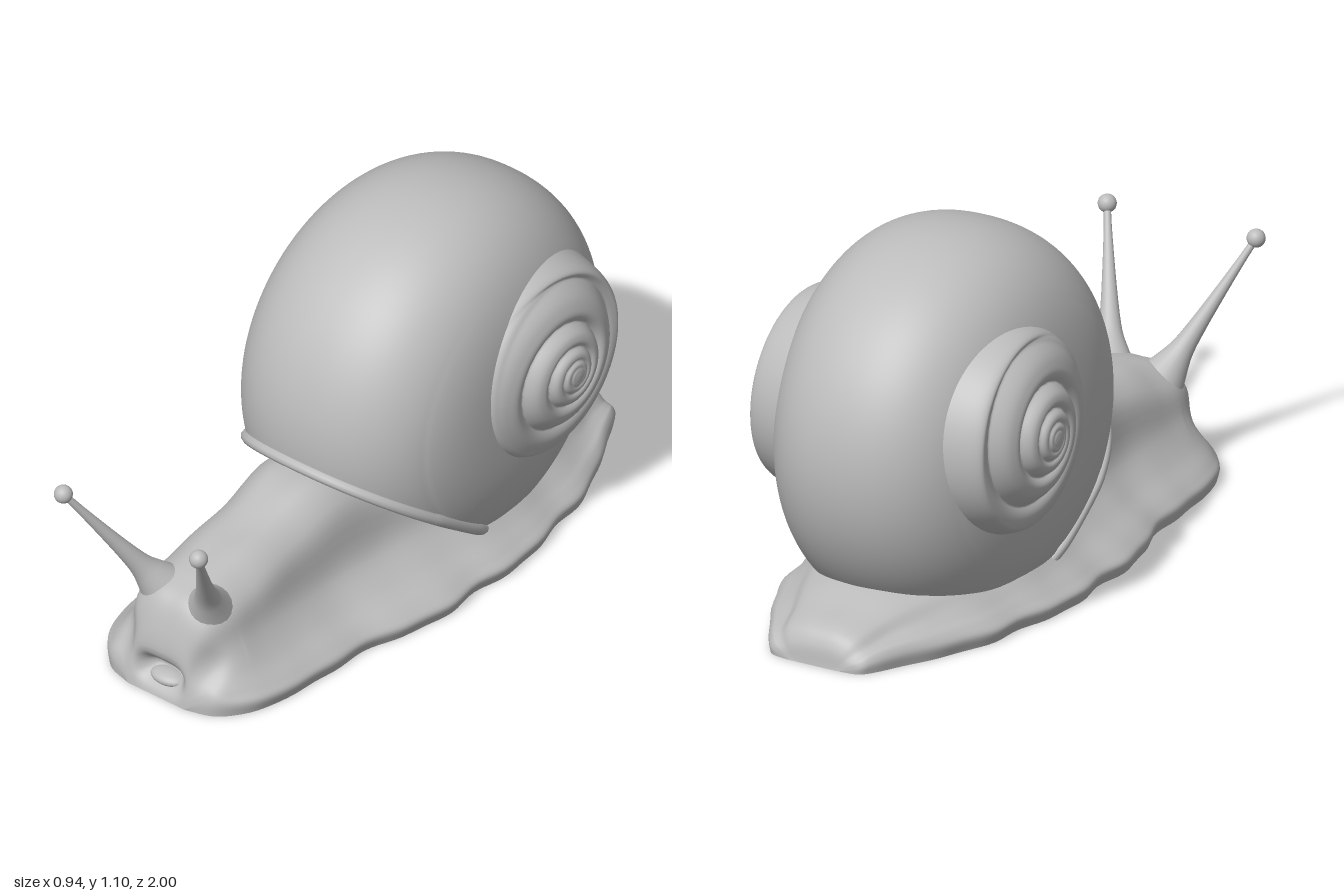
import * as THREE from 'three';

const V = (x, y, z) => new THREE.Vector3(x, y, z);
const clay = new THREE.MeshStandardMaterial({ color: 0xbcbcbc, side: THREE.DoubleSide });
clay.name = 'clay grey';

// Smooth surface through equally long rows of points
function surface(rows) {
  const n = rows[0].length, pos = [], index = [];
  rows.forEach(row => row.forEach(p => pos.push(p.x, p.y, p.z)));
  for (let i = 0; i < rows.length - 1; i++) {
    for (let j = 0; j < n - 1; j++) {
      const a = i * n + j, b = a + n;
      index.push(a, b, a + 1, b, b + 1, a + 1);
    }
  }
  const g = new THREE.BufferGeometry();
  g.setAttribute('position', new THREE.Float32BufferAttribute(pos, 3));
  g.setIndex(index);
  g.computeVertexNormals();
  return g;
}

function add(parent, name, geometry) {
  const mesh = new THREE.Mesh(geometry, clay);
  mesh.name = name;
  parent.add(mesh);
  return mesh;
}

// Body: [z, foot half width, back half width, height]
const STATIONS = [
  [-1, .08, .06, 0], [-.99, .14, .10, .06], [-.96, .17, .13, .10], [-.85, .24, .17, .135],
  [-.72, .30, .22, .17], [-.5, .37, .28, .20], [-.25, .40, .28, .26], [0, .395, .22, .38],
  [.2, .365, .19, .44], [.4, .315, .175, .40], [.6, .305, .18, .355], [.72, .28, .175, .335],
  [.79, .23, .15, .30], [.835, .18, .115, .20], [.855, .12, .10, .06], [.86, .10, .08, 0],
];

function buildBody(group) {
  const sections = STATIONS.map(([z, w, b, h]) => {
    const e = Math.min(.065, h * .5), side = Math.min(.19, h * .6);
    const half = [[w * .97, 0], [w, e * .6], [w * .93, e], [w + (b - w) * .6, e + (side - e) * .4],
      [b, side], [b * .82, h * .82], [b * .42, h * .98]];
    const ring = half.map(([x, y]) => V(x, y, z));
    ring.push(V(0, h, z), ...half.reverse().map(([x, y]) => V(-x, y, z)));
    return new THREE.CatmullRomCurve3(ring, false, 'centripetal').getPoints(70);
  });
  const lines = sections[0].map((_, j) =>
    new THREE.CatmullRomCurve3(sections.map(s => s[j]), false, 'centripetal').getPoints(120));
  for (const line of lines) {
    for (const p of line) {
      // wavy foot edge and soft folds along the flanks
      const low = Math.max(0, 1 - p.y / .25);
      p.x *= 1 + low * (.022 * Math.sin(p.z * 17) + .012 * Math.sin(p.z * 31 + 1));
      p.y = Math.max(0, p.y * (1 + .012 * Math.sin(p.z * 23 + Math.abs(p.x) * 14)));
      // mouth hollow and hollows beside the snout
      if (p.z > .7) {
        p.z -= .07 * Math.exp(-((p.x / .075) ** 4) - ((p.y - .07) / .035) ** 2);
        p.z -= .03 * Math.exp(-(((Math.abs(p.x) - .15) / .04) ** 2) - ((p.y - .14) / .06) ** 2);
      }
    }
  }
  add(group, 'body', surface(lines));
  // flat sole between both foot edges
  const left = lines[0], right = lines[lines.length - 1];
  add(group, 'sole', surface([left, right].map(l => l.map(p => V(p.x, 0, p.z)))));
  const lip = add(group, 'lowerLip', new THREE.SphereGeometry(1, 24, 16));
  lip.scale.set(.058, .022, .04);
  lip.position.set(0, .042, .805);
}

// Shell: round about the x axis, cut off by the slanted opening
const CY = .525, CZ = -.325, R = .575, HALF = .37, CUT = .395;
const PHI = Math.atan2(-.8, .6);

function shellPoint(x, r, t) {
  const z = CZ + r * Math.cos(t);
  return V(x * (1 + .1 * (z - CZ)), Math.max(.05, CY + r * Math.sin(t)), z);
}

function buildShell(group) {
  const rows = [], upper = [], lower = [];
  const N = 72, M = 96;
  for (let i = 0; i <= N; i++) {
    const f = (i / N - .5) * Math.PI, s = Math.sin(f);
    const x = HALF * Math.sign(s) * Math.abs(s) ** .9;
    const r = R * Math.max(0, Math.cos(f)) ** .62;
    const a = r > CUT ? Math.acos(CUT / r) : 0;
    const row = [];
    for (let j = 0; j <= M; j++) {
      row.push(shellPoint(x, r, PHI + a + (2 * Math.PI - 2 * a) * j / M));
    }
    rows.push(row);
    if (a > .1) {
      upper.push(row[0]);
      lower.unshift(row[M]);
    }
  }
  add(group, 'shell', surface(rows));

  // rounded lip along the opening
  const rim = new THREE.CatmullRomCurve3([...upper, ...lower], true, 'centripetal');
  add(group, 'shellLip', new THREE.TubeGeometry(rim, 160, .018, 10, true));

  // hollow inside the opening
  const edge = rim.getSpacedPoints(100);
  const mid = V(0, CY - .8 * CUT, CZ + .6 * CUT);
  const lining = [[1, 0], [.95, .03], [.85, .09], [.65, .15], [.3, .18], [0, .19]].map(([k, d]) =>
    edge.map(p => {
      const q = mid.clone().lerp(p, k).add(V(0, .8 * d, -.6 * d));
      q.y = Math.max(.05, q.y);
      return q;
    }));
  add(group, 'shellHollow', surface(lining));

  // raised whorls on both sides, stepping outwards to the middle
  for (const s of [1, -1]) {
    const disc = [];
    for (let i = 0; i <= 90; i++) {
      const r = .002 + .34 * i / 90, row = [];
      for (let j = 0; j <= 120; j++) {
        const t = j / 120 * Math.PI * 2;
        const turn = Math.log(r / .31) / Math.log(.56) - j / 120;
        const groove = (1 - Math.abs(Math.sin(Math.PI * turn))) ** 1.4;
        const fade = Math.min(1, Math.max(0, r - .015) / .12) * Math.min(1, Math.max(0, (.31 - r) / .05));
        const base = .468 - .1 * (r / .31) ** 1.5 - .25 * (Math.max(0, r - .27) / .07) ** 2;
        row.push(V(s * (base - .028 * groove * fade), .59 + r * Math.sin(t), -.445 + r * Math.cos(t)));
      }
      disc.push(row);
    }
    add(group, s > 0 ? 'leftWhorl' : 'rightWhorl', surface(disc));
  }
}

// Eye stalks with round tips
function buildStalks(group) {
  const profile = [[.075, -.06], [.05, .005], [.034, .06], [.025, .14], [.018, .24], [.012, .35], [.01, .42]];
  const curve = new THREE.SplineCurve(profile.map(([r, y]) => new THREE.Vector2(r, y)));
  for (const s of [1, -1]) {
    const base = V(s * .1, .315, .755), tip = V(s * .245, .653, .973);
    const stalk = add(group, s > 0 ? 'leftStalk' : 'rightStalk',
      new THREE.LatheGeometry(curve.getPoints(30), 20));
    stalk.position.copy(base);
    stalk.quaternion.setFromUnitVectors(V(0, 1, 0), tip.clone().sub(base).normalize());
    const eye = add(group, s > 0 ? 'leftEye' : 'rightEye', new THREE.SphereGeometry(.027, 24, 16));
    eye.position.copy(tip);
  }
}

export function createModel() {
  const group = new THREE.Group();
  group.name = 'snail';
  buildBody(group);
  buildShell(group);
  buildStalks(group);
  return group;
}
